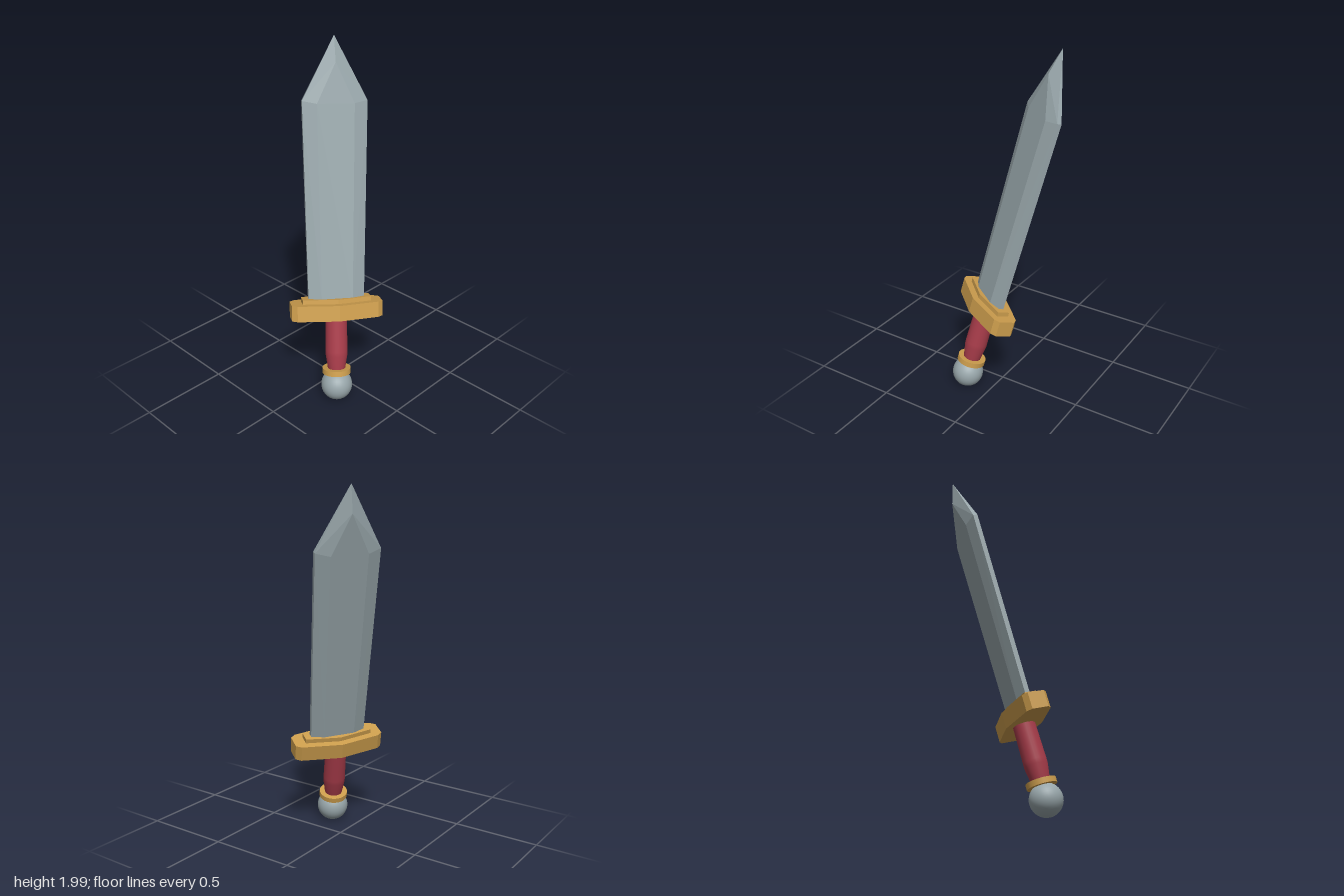
import * as THREE from 'three';
import { ConvexGeometry } from 'three/addons/geometries/ConvexGeometry.js';

const steel = new THREE.MeshStandardMaterial({ color: 0x97a5a9 });
steel.name = 'steel';
const gold = new THREE.MeshStandardMaterial({ color: 0xcc9d4d });
gold.name = 'gold';
const red = new THREE.MeshStandardMaterial({ color: 0xa83c4a });
red.name = 'red leather';

function part(name, geometry, material, y = 0) {
  const mesh = new THREE.Mesh(geometry, material);
  mesh.name = name;
  mesh.position.y = y;
  return mesh;
}

// Convex plan, mirrored in x and z, raised from y0 to y1
function slab(plan, y0, y1) {
  const points = [];
  for (const [x, z] of plan)
    for (const sx of [-1, 1])
      for (const sz of [-1, 1])
        for (const y of [y0, y1]) points.push(new THREE.Vector3(sx * x, y, sz * z));
  return new ConvexGeometry(points);
}

// Bevelled blade: thin flat edges, a raised flat centre and a faceted point
function bladeGeometry() {
  const edge = 0.013, core = 0.04;
  const points = [new THREE.Vector3(0, 1.977, 0)];
  for (const sz of [-1, 1]) {
    points.push(new THREE.Vector3(0, 1.835, sz * core));
    for (const sx of [-1, 1])
      for (const [x, y, z] of [[0.16, 0.5, edge], [0.089, 0.5, core], [0.1815, 1.63, edge], [0.104, 1.615, core]])
        points.push(new THREE.Vector3(sx * x, y, sz * z));
  }
  return new ConvexGeometry(points);
}

export function createModel() {
  const model = new THREE.Group();
  model.name = 'sword';

  // Sword stands along local y, with its origin at the pommel centre
  const sword = new THREE.Group();
  sword.name = 'tiltedSword';

  sword.add(part('blade', bladeGeometry(), steel));

  // Crossguard: widest in the middle with clipped ends, and a collar above
  sword.add(part('guard', slab([[0, 0.105], [0.232, 0.068], [0.261, 0.045]], 0.41, 0.5), gold));
  sword.add(part('guardCollar', slab([[0, 0.067], [0.197, 0.034]], 0.495, 0.525), gold));

  // Grip swells near the bottom, then narrows into the ring
  const gripProfile = [[0.05, 0.09], [0.053, 0.115], [0.064, 0.185], [0.064, 0.21], [0.061, 0.42]]
    .map(([r, y]) => new THREE.Vector2(r, y));
  sword.add(part('grip', new THREE.LatheGeometry(gripProfile, 24), red));

  sword.add(part('gripRing', new THREE.CylinderGeometry(0.082, 0.082, 0.03, 32), gold, 0.087));
  sword.add(part('pommel', new THREE.SphereGeometry(0.09, 32, 20), steel));

  // Lean and turn the whole sword
  const up = new THREE.Vector3(-0.193, 0.9635, -0.186).normalize();
  const across = new THREE.Vector3(0.567, -0.045, -0.823);
  const face = new THREE.Vector3().crossVectors(across, up).normalize();
  across.crossVectors(up, face);
  sword.quaternion.setFromRotationMatrix(new THREE.Matrix4().makeBasis(across, up, face));
  sword.position.set(0.16, 0.092, 0.145);

  model.add(sword);
  return model;
}
